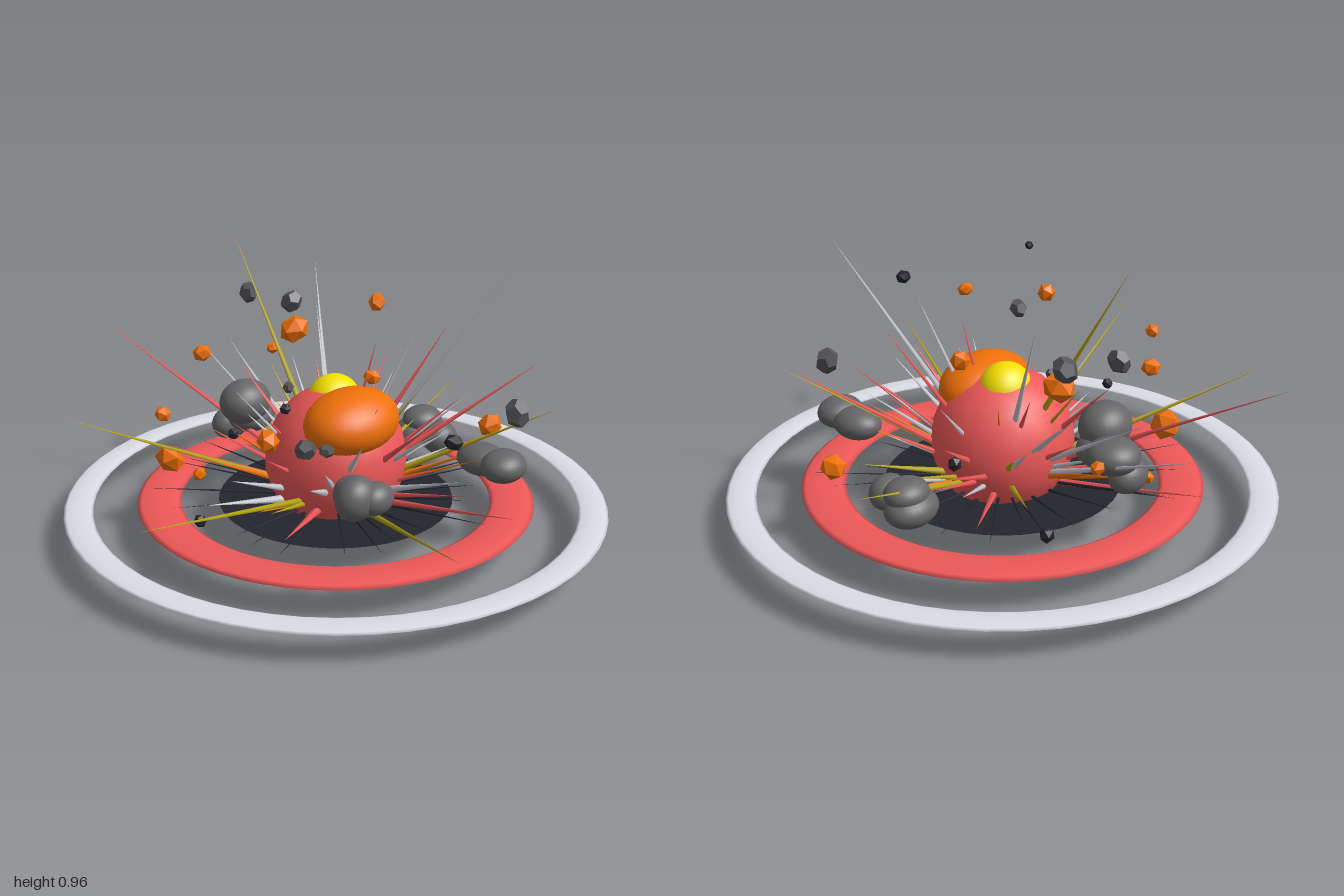
import * as THREE from 'three';

const RED = 0xee5858, ORANGE = 0xf07008, YELLOW = 0xf5e000, OLIVE = 0xb5a414;
const SILVER = 0xc4c6cc, WHITE = 0xdcdce6, SMOKE = 0x666668, DARK = 0x24252e, STONE = 0x55555a;
const CX = 0.005, CZ = -0.06;
const UP = new THREE.Vector3(0, 1, 0);

const mats = new Map();
function material(color, flat = false) {
  const key = color + (flat ? 'f' : 's');
  if (!mats.has(key)) mats.set(key, new THREE.MeshStandardMaterial({ color, flatShading: flat, side: THREE.DoubleSide }));
  return mats.get(key);
}

function add(parent, name, geometry, mat, pos = [0, 0, 0], scale = [1, 1, 1]) {
  const mesh = new THREE.Mesh(geometry, mat);
  mesh.name = name;
  mesh.position.set(...pos);
  mesh.scale.set(...scale);
  parent.add(mesh);
  return mesh;
}

function group(parent, name) {
  const g = new THREE.Group();
  g.name = name;
  parent.add(g);
  return g;
}

// small seeded generator
function seeded(seed) {
  let s = seed;
  return () => (s = (s * 16807) % 2147483647) / 2147483647;
}

export function createModel() {
  const model = new THREE.Group();
  model.name = 'explosion';
  const rand = seeded(4711);

  // flat shock rings and scorched disc
  const ring = (name, R, tube, height, y, color) => {
    const g = new THREE.TorusGeometry(R, tube, 10, 56).rotateX(Math.PI / 2);
    add(model, name, g, material(color), [CX, y, CZ], [1, height / tube, 1]);
  };
  ring('outerShockRing', 0.892, 0.05, 0.008, 0.107, WHITE);
  ring('innerShockRing', 0.615, 0.076, 0.014, 0.112, RED);
  add(model, 'scorchDisc', new THREE.CircleGeometry(0.41, 40).rotateX(-Math.PI / 2), material(DARK), [CX, 0.108, CZ]);

  // fireball with hotter lobes breaking through
  const ball = new THREE.SphereGeometry(1, 28, 18);
  const fire = group(model, 'fireball');
  add(fire, 'fireCore', new THREE.IcosahedronGeometry(1, 3), material(RED), [CX, 0.258, CZ], [0.245, 0.257, 0.25]);
  add(fire, 'orangeLobe', ball, material(ORANGE), [0.1, 0.42, -0.025], [0.145, 0.112, 0.19]);
  add(fire, 'yellowLobe', ball, material(YELLOW), [-0.02, 0.452, -0.08], [0.09, 0.093, 0.1]);

  // smoke puffs: position, radii
  const smoke = group(model, 'smoke');
  [
    [-0.37, 0.385, -0.01, 0.085, 0.08, 0.1], [-0.455, 0.335, -0.1, 0.09, 0.06, 0.09], [-0.49, 0.26, -0.06, 0.06, 0.06, 0.08],
    [-0.38, 0.32, -0.05, 0.08, 0.06, 0.09],
    [0.016, 0.2, -0.545, 0.08, 0.06, 0.1], [0.03, 0.25, -0.55, 0.07, 0.05, 0.08], [0.13, 0.21, -0.52, 0.06, 0.06, 0.07],
    [0.45, 0.285, -0.3, 0.09, 0.055, 0.075], [0.55, 0.295, -0.275, 0.075, 0.055, 0.085],
    [0.24, 0.25, 0.14, 0.07, 0.065, 0.07], [0.28, 0.262, 0.18, 0.065, 0.075, 0.08], [0.32, 0.255, 0.13, 0.055, 0.055, 0.07],
  ].forEach(([x, y, z, a, b, c]) => add(smoke, 'smokePuff', ball, material(SMOKE), [x, y, z], [a, b, c]));

  // flying fragments: position, size
  const ico = new THREE.IcosahedronGeometry(1, 0);
  const dode = new THREE.DodecahedronGeometry(1, 0);
  const debris = group(model, 'debris');
  const fragments = (name, geometry, color, list) => list.forEach(([x, y, z, r]) => {
    const m = add(debris, name, geometry, material(color, true), [x, y, z],
      [r * (0.75 + 0.35 * rand()), r * (0.75 + 0.4 * rand()), r * (0.75 + 0.35 * rand())]);
    m.rotation.set(rand() * 3, rand() * 3, rand() * 3);
  });
  fragments('ember', ico, ORANGE, [
    [-0.41, 0.265, 0.335, 0.056], [-0.115, 0.7, -0.45, 0.04], [0.3, 0.28, -0.59, 0.044], [-0.345, 0.6, -0.255, 0.056],
    [-0.25, 0.525, 0.51, 0.032], [0.225, 0.565, 0.54, 0.038], [-0.47, 0.575, 0.1, 0.034], [-0.44, 0.14, 0.165, 0.03],
    [-0.57, 0.445, -0.39, 0.022], [0.31, 0.675, 0.145, 0.027],
  ]);
  fragments('stone', dode, STONE, [
    [-0.53, 0.715, -0.215, 0.038], [-0.395, 0.685, -0.3, 0.042], [0.58, 0.485, -0.295, 0.045], [0.285, 0.52, 0.44, 0.036],
    [0.15, 0.39, 0.17, 0.028], [-0.14, 0.5, 0.02, 0.022],
  ]);
  fragments('cinder', ico, DARK, [
    [0.71, 0.605, 0.285, 0.03], [0.345, 0.715, 0.6, 0.022], [-0.03, 0.24, 0.58, 0.022], [-0.31, 0.315, 0.12, 0.022],
    [-0.37, 0.135, -0.35, 0.03], [-0.01, 0.28, -0.35, 0.03],
  ]);

  // tapering spikes from a point near the core out to a tip
  const spikes = group(model, 'spikes');
  const origin = new THREE.Vector3(CX, 0.11, CZ);
  const spike = (name, tip, color, radius, start = 0.13) => {
    const dir = tip.clone().sub(origin);
    const length = dir.length() - start;
    dir.normalize();
    const m = add(spikes, name, new THREE.ConeGeometry(radius, length, 6), material(color));
    m.position.copy(origin).addScaledVector(dir, start + length / 2);
    m.quaternion.setFromUnitVectors(UP, dir);
  };

  // longest sparks and streaks
  [
    [-0.5, 0.965, -0.11, OLIVE], [0.51, 0.95, -0.32, SILVER], [-0.94, 0.6, 0.12, RED], [0.88, 0.35, 0.485, OLIVE],
    [0.13, 0.41, 0.99, OLIVE], [-0.635, 0.44, 0.6, OLIVE], [0.66, 0.48, -0.43, OLIVE], [-0.34, 0.84, -0.37, SILVER],
    [-0.8, 0.46, -0.23, SILVER], [0.015, 0.34, -0.8, OLIVE], [-0.24, 0.44, -0.7, RED], [-0.62, 0.52, -0.2, SILVER],
    [0.8, 0.3, 0.06, RED], [-0.7, 0.17, 0.1, RED], [0.5, 0.57, -0.57, RED], [0.25, 0.76, -0.2, SILVER],
    [0.13, 0.69, -0.12, RED], [-0.26, 0.71, -0.28, SILVER], [0.24, 0.7, -0.38, RED], [-0.4, 0.3, -0.5, OLIVE],
  ].forEach(([x, y, z, c]) => spike('longSpike', new THREE.Vector3(x, y, z), c, 0.014));

  // burst of shorter spikes, spread by the golden angle
  const at = (angle, elevation, d) => new THREE.Vector3(
    Math.cos(angle) * Math.cos(elevation), Math.sin(elevation), Math.sin(angle) * Math.cos(elevation),
  ).multiplyScalar(d).add(origin);
  const palette = [SILVER, RED, OLIVE, RED, SILVER, ORANGE];
  for (let i = 0; i < 60; i++) {
    const elevation = 0.15 + 0.9 * rand();
    const d = 0.4 + 0.2 * rand();
    spike('burstSpike', at(i * 2.39996, elevation, d), palette[i % 6], 0.011 + 0.008 * rand(), 0.16);
  }

  // thin dark needles skimming the ground
  for (let i = 0; i < 26; i++) {
    spike('groundNeedle', at(i * 2.39996 + 0.5, 0.04 + 0.1 * rand(), 0.46 + 0.2 * rand()), DARK, 0.006, 0.2);
  }
  return model;
}
